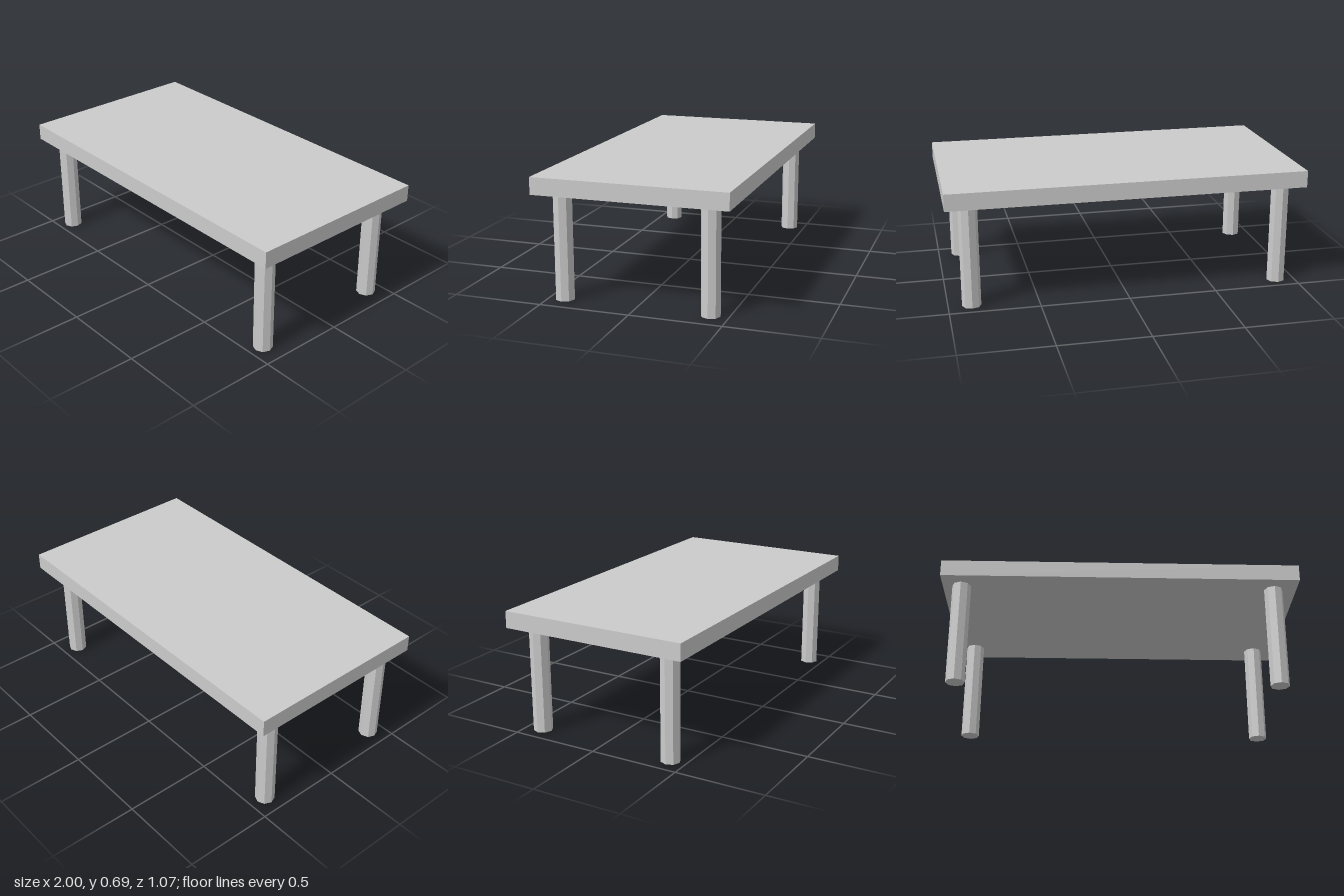
import * as THREE from 'three';

export function createModel() {
  const model = new THREE.Group();
  model.name = 'table';
  const material = new THREE.MeshStandardMaterial({ color: 0xcccccc, flatShading: true });

  const legHeight = 0.592;
  const topThickness = 0.094;

  // Slab top
  const top = new THREE.Mesh(new THREE.BoxGeometry(2, topThickness, 1.068), material);
  top.name = 'tableTop';
  top.position.y = legHeight + topThickness / 2;
  model.add(top);

  // Four octagonal legs, set slightly off centre under the top
  const legGeometry = new THREE.CylinderGeometry(0.053, 0.053, legHeight, 8);
  for (const [side, x] of [['Left', 0.871], ['Right', -0.893]]) {
    for (const [end, z] of [['front', 0.411], ['back', -0.402]]) {
      const leg = new THREE.Mesh(legGeometry, material);
      leg.name = `${end}${side}Leg`;
      leg.position.set(x, legHeight / 2, z);
      model.add(leg);
    }
  }

  return model;
}
